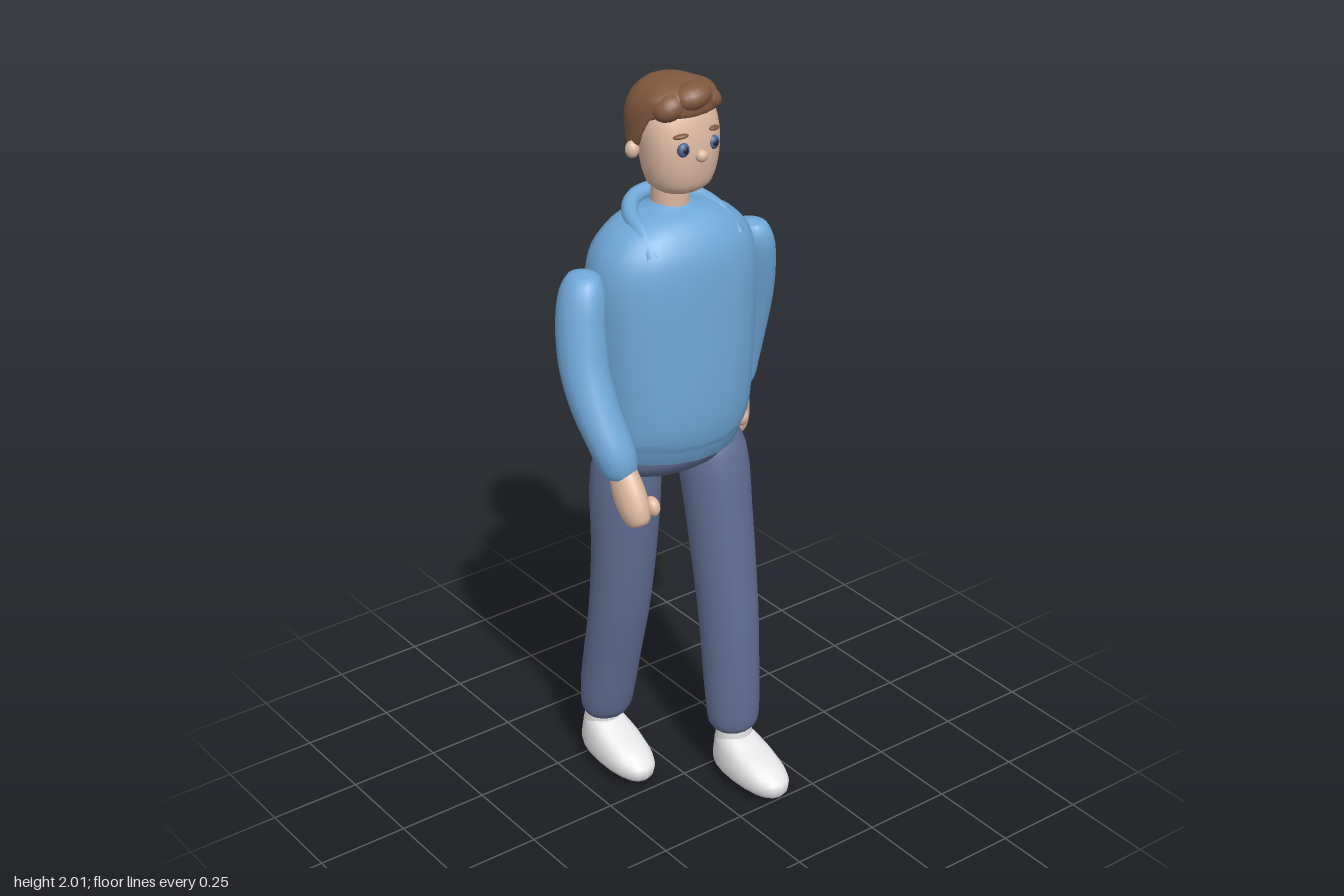
import * as THREE from 'three';

const mat = (name, color) => Object.assign(new THREE.MeshStandardMaterial({ color }), { name });

// Smooth body from horizontal sections [x, y, z, rx, rz], listed bottom to top.
// pow < 1 squares the section; bend(p, angle) may move each point.
function loft(sections, { sides = 20, steps = 3, pow = 1, bend } = {}) {
  const centre = new THREE.CatmullRomCurve3(sections.map(s => new THREE.Vector3(s[0], s[1], s[2])));
  const radius = new THREE.CatmullRomCurve3(sections.map(s => new THREE.Vector3(s[3], s[4], s[1])));
  const rows = (sections.length - 1) * steps, pos = [], index = [];
  const round = v => Math.sign(v) * Math.abs(v) ** pow;
  for (let i = 0; i <= rows; i++) {
    const c = centre.getPoint(i / rows), r = radius.getPoint(i / rows);
    for (let j = 0; j < sides; j++) {
      const a = j / sides * Math.PI * 2;
      const p = new THREE.Vector3(
        c.x + round(Math.cos(a)) * Math.max(r.x, 0), c.y,
        c.z + round(Math.sin(a)) * Math.max(r.y, 0));
      if (bend) bend(p, a);
      pos.push(p.x, p.y, p.z);
      if (i < rows) {
        const k = i * sides + j, n = i * sides + (j + 1) % sides;
        index.push(k, k + sides, n, n, k + sides, n + sides);
      }
    }
  }
  const g = new THREE.BufferGeometry();
  g.setAttribute('position', new THREE.Float32BufferAttribute(pos, 3));
  g.setIndex(index);
  g.computeVertexNormals();
  return g;
}

export function createModel() {
  const sweater = mat('sweaterBlue', 0x70a8d8), trousers = mat('trouserNavy', 0x606e92);
  const skin = mat('skin', 0xdcb8a0), hair = mat('hairBrown', 0x80593f);
  const shoe = mat('shoeWhite', 0xe6e6e8), eye = mat('eyeBlue', 0x48658c), dark = mat('pupilDark', 0x20242e);

  const model = new THREE.Group();
  model.name = 'walkingMan';
  const add = (name, geo, material, parent = model) => {
    const m = new THREE.Mesh(geo, material);
    m.name = name;
    parent.add(m);
    return m;
  };
  const blob = (name, material, p, s, parent = model) => {
    const m = add(name, new THREE.SphereGeometry(1, 16, 12), material, parent);
    m.position.set(...p);
    m.scale.set(...s);
    return m;
  };

  // Sweater body with a slightly wavy hem
  add('sweaterBody', loft([
    [0, 1.05, -0.062, 0, 0], [0, 1.035, -0.062, 0.18, 0.11], [0, 1.035, -0.062, 0.205, 0.133],
    [0, 1.08, -0.057, 0.214, 0.148], [0, 1.2, -0.055, 0.225, 0.156], [0, 1.36, -0.055, 0.234, 0.157],
    [0, 1.5, -0.055, 0.234, 0.155], [0, 1.57, -0.055, 0.215, 0.145], [0, 1.62, -0.055, 0.175, 0.12],
    [0, 1.65, -0.055, 0.12, 0.09], [0, 1.665, -0.055, 0.06, 0.05], [0, 1.665, -0.055, 0, 0],
  ], { pow: 0.88, bend: (p, a) => { if (p.y < 1.07) p.y += 0.01 * Math.sin(3 * a + 0.6); } }), sweater);

  // Folded collar, high at the back and sinking into the chest
  const collarPath = new THREE.CatmullRomCurve3([
    [-0.13, 1.575, 0.045], [-0.12, 1.625, -0.01], [-0.105, 1.648, -0.08], [-0.06, 1.665, -0.13],
    [0, 1.67, -0.142], [0.06, 1.665, -0.13], [0.105, 1.648, -0.08], [0.12, 1.625, -0.01], [0.13, 1.575, 0.045],
  ].map(p => new THREE.Vector3(...p)));
  add('collar', new THREE.TubeGeometry(collarPath, 32, 0.022, 10), sweater);

  // Waist of the trousers
  add('trouserWaist', loft([
    [0, 0.93, -0.065, 0, 0], [0, 0.935, -0.065, 0.08, 0.06], [0, 0.96, -0.065, 0.165, 0.1],
    [0, 0.995, -0.065, 0.197, 0.123], [0, 1.05, -0.065, 0.2, 0.126], [0, 1.08, -0.065, 0.19, 0.12],
  ], { pow: 0.9 }), trousers);

  // Legs: left strides forward, right trails behind
  add('leftTrouserLeg', loft([
    [0.118, 0.15, 0.065, 0, 0], [0.118, 0.138, 0.065, 0.05, 0.045], [0.118, 0.155, 0.064, 0.067, 0.064],
    [0.118, 0.22, 0.06, 0.075, 0.073], [0.118, 0.35, 0.05, 0.077, 0.08], [0.119, 0.5, 0.035, 0.081, 0.085],
    [0.118, 0.8, -0.01, 0.09, 0.093], [0.115, 0.96, -0.035, 0.094, 0.092], [0.11, 1.03, -0.045, 0.07, 0.07],
  ], { sides: 16 }), trousers);
  add('rightTrouserLeg', loft([
    [-0.123, 0.16, -0.195, 0, 0], [-0.123, 0.145, -0.195, 0.05, 0.045], [-0.123, 0.165, -0.192, 0.067, 0.062],
    [-0.123, 0.22, -0.186, 0.075, 0.073], [-0.122, 0.35, -0.162, 0.078, 0.078], [-0.121, 0.5, -0.13, 0.082, 0.081],
    [-0.119, 0.7, -0.106, 0.088, 0.086], [-0.118, 0.95, -0.093, 0.094, 0.09], [-0.11, 1.03, -0.085, 0.07, 0.07],
  ], { sides: 16 }), trousers);

  // Shoes with ankle collars; the heel is at the group's origin
  const addShoe = (side, x, y, z, tilt) => {
    const g = new THREE.Group();
    g.name = side + 'Shoe';
    g.position.set(x, y, z);
    g.rotation.x = tilt;
    model.add(g);
    add(side + 'ShoeBody', loft([
      [0, 0.003, 0.14, 0, 0], [0, 0.003, 0.14, 0.045, 0.115], [0, 0.02, 0.138, 0.064, 0.135],
      [0, 0.05, 0.137, 0.067, 0.135], [0, 0.08, 0.115, 0.062, 0.108], [0, 0.105, 0.082, 0.053, 0.07],
      [0, 0.122, 0.068, 0.04, 0.042], [0, 0.125, 0.065, 0, 0],
    ], { pow: 0.88 }), shoe, g);
    add(side + 'Ankle', loft([
      [0, 0.08, 0.062, 0.052, 0.052], [0, 0.125, 0.064, 0.05, 0.05], [0, 0.17, 0.066, 0.045, 0.045],
    ], { sides: 16 }), shoe, g);
  };
  addShoe('left', 0.12, 0, 0.003, 0);
  addShoe('right', -0.125, 0.017, -0.277, 0.06);

  // Sleeves: left swings back, right swings forward
  add('leftSleeve', loft([
    [0.29, 1.06, -0.16, 0, 0], [0.29, 1.045, -0.16, 0.04, 0.042], [0.292, 1.06, -0.16, 0.05, 0.052],
    [0.298, 1.12, -0.155, 0.055, 0.057], [0.301, 1.22, -0.138, 0.059, 0.063], [0.298, 1.32, -0.115, 0.061, 0.067],
    [0.285, 1.42, -0.09, 0.06, 0.067], [0.272, 1.5, -0.073, 0.053, 0.061], [0.265, 1.54, -0.068, 0.036, 0.042],
    [0.262, 1.552, -0.066, 0, 0],
  ], { sides: 16 }), sweater);
  add('rightSleeve', loft([
    [-0.275, 1.075, 0.1, 0, 0], [-0.275, 1.058, 0.1, 0.038, 0.035], [-0.278, 1.08, 0.095, 0.05, 0.05],
    [-0.285, 1.13, 0.08, 0.057, 0.06], [-0.297, 1.22, 0.032, 0.061, 0.066], [-0.299, 1.32, -0.012, 0.062, 0.067],
    [-0.288, 1.42, -0.038, 0.062, 0.067], [-0.274, 1.5, -0.05, 0.056, 0.061], [-0.267, 1.54, -0.054, 0.037, 0.042],
    [-0.264, 1.552, -0.056, 0, 0],
  ], { sides: 16 }), sweater);

  // Mitten hands with thumbs, hanging from the wrist
  const addHand = (side, p, tilt, thumb) => {
    const g = new THREE.Group();
    g.name = side + 'Hand';
    g.position.set(...p);
    g.rotation.x = tilt;
    model.add(g);
    add(side + 'Palm', loft([
      [0, -0.16, 0.005, 0, 0], [0, -0.153, 0.004, 0.024, 0.03], [0, -0.12, 0.002, 0.036, 0.045],
      [0, -0.07, 0, 0.039, 0.049], [0, -0.02, 0, 0.035, 0.041], [0, 0.03, 0, 0.03, 0.034],
    ], { sides: 14 }), skin, g);
    blob(side + 'Thumb', skin, thumb, [0.018, 0.026, 0.022], g);
  };
  addHand('left', [0.282, 1.06, -0.155], 0, [-0.018, -0.09, 0.055]);
  addHand('right', [-0.27, 1.08, 0.097], -0.5, [0.035, -0.118, 0.03]);

  // Neck and head
  add('neck', new THREE.CylinderGeometry(0.049, 0.049, 0.13, 16), skin).position.set(0, 1.69, -0.057);
  add('face', loft([
    [0, 1.712, -0.025, 0, 0], [0, 1.714, -0.025, 0.045, 0.045], [0, 1.735, -0.022, 0.078, 0.073],
    [0, 1.775, -0.021, 0.094, 0.084], [0, 1.83, -0.022, 0.102, 0.089], [0, 1.88, -0.028, 0.104, 0.088],
    [0, 1.93, -0.04, 0.095, 0.082], [0, 1.97, -0.05, 0.05, 0.05], [0, 1.98, -0.05, 0, 0],
  ], { pow: 0.92 }), skin);

  // Facial features, mirrored
  for (const [side, s] of [['left', 1], ['right', -1]]) {
    blob(side + 'Ear', skin, [s * 0.112, 1.828, -0.06], [0.018, 0.022, 0.018]);
    blob(side + 'Eye', eye, [s * 0.045, 1.846, 0.056], [0.017, 0.018, 0.012]);
    blob(side + 'Pupil', dark, [s * 0.045, 1.847, 0.065], [0.008, 0.009, 0.005]);
    blob(side + 'Brow', hair, [s * 0.05, 1.88, 0.052], [0.02, 0.006, 0.01]).rotation.set(0, s * 0.4, -s * 0.12);
  }
  blob('nose', skin, [0, 1.825, 0.068], [0.016, 0.016, 0.015]);

  // Hair cap: height fraction v stretches between the hairline and the crown
  const smooth = THREE.MathUtils.smoothstep;
  add('hairCap', loft([
    [0, 0.06, -0.058, 0.075, 0.078], [0, 0, -0.058, 0.105, 0.108], [0, 0.3, -0.058, 0.112, 0.116],
    [0, 0.6, -0.058, 0.109, 0.113], [0, 0.83, -0.058, 0.085, 0.09], [0, 0.96, -0.058, 0.048, 0.05],
    [0, 1, -0.058, 0, 0],
  ], { sides: 28, bend: (p, a) => {
    const s = Math.sin(a), v = p.y;
    const hairline = 1.785 + 0.035 * smooth(s, -0.9, 0) + 0.1 * smooth(s, -0.05, 0.55);
    p.y = hairline + (1.997 - hairline) * v;
    if (s < 0) p.z -= s * 0.035 * Math.max(1 - v, 0) ** 3;
  } }), hair);

  // Swept quiff over the forehead
  blob('quiff', hair, [0, 1.965, 0.03], [0.052, 0.033, 0.042]).rotation.z = 0.2;
  blob('quiffSide', hair, [-0.055, 1.945, 0.01], [0.045, 0.034, 0.042]).rotation.z = 0.5;
  blob('fringe', hair, [0.055, 1.945, 0.008], [0.045, 0.03, 0.04]).rotation.z = -0.4;

  return model;
}
